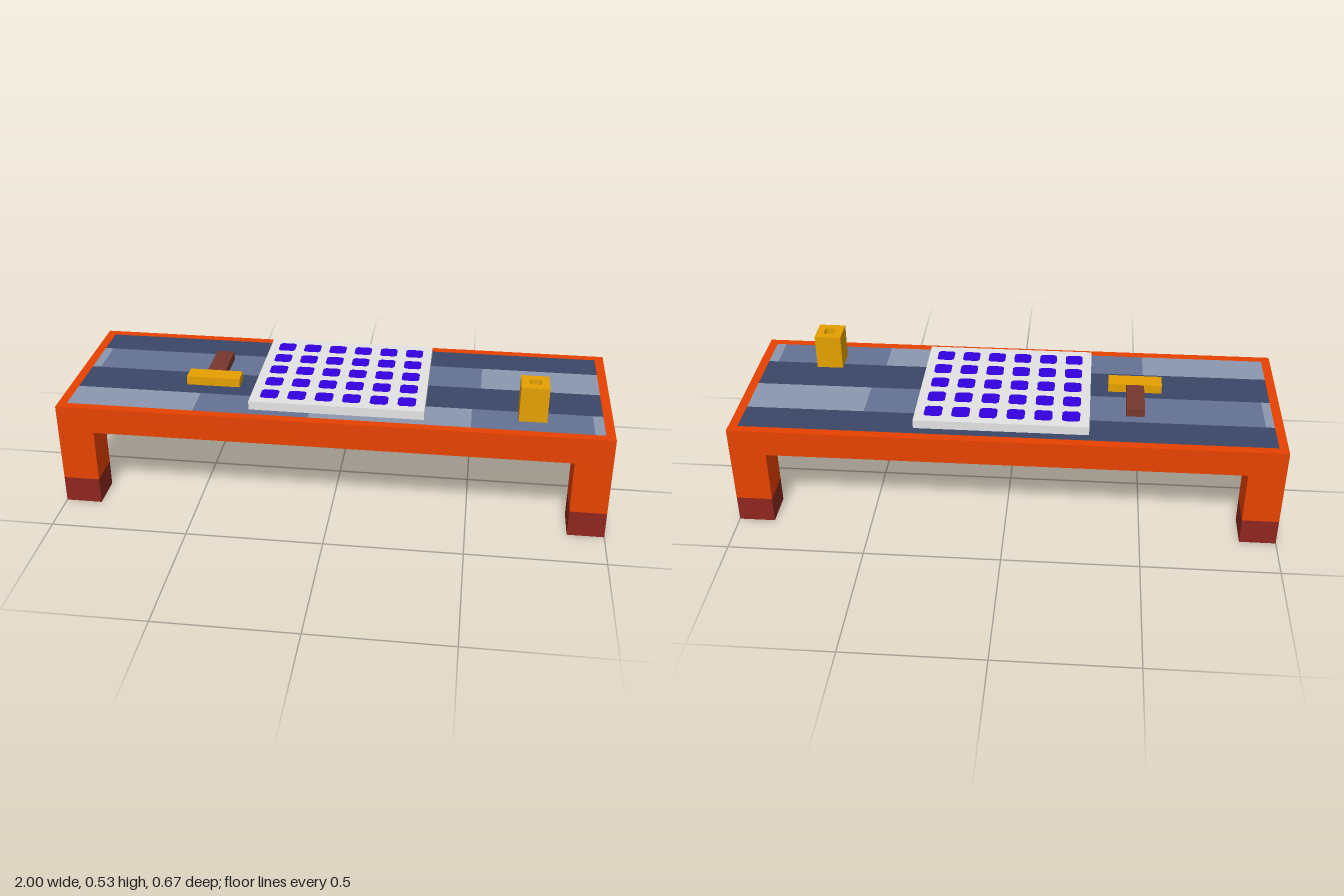
import * as THREE from 'three';

const mat = (name, color) => {
  const m = new THREE.MeshStandardMaterial({ color });
  m.name = name;
  return m;
};

export function createModel() {
  const orange = mat('orange frame', 0xe74200);
  const maroon = mat('maroon foot', 0x8d261d);
  const slate = mat('dark slate', 0x3b4768);
  const blueGrey = mat('blue grey', 0x657294);
  const paleGrey = mat('pale blue grey', 0x8c97af);
  const silver = mat('silver board', 0xe3e3e3);
  const violet = mat('violet dots', 0x3200e0);
  const gold = mat('gold', 0xe6a000);
  const brown = mat('brown handle', 0x76382e);

  const model = new THREE.Group();
  model.name = 'benchTable';

  const add = (name, geometry, material, parent = model) => {
    const mesh = new THREE.Mesh(geometry, material);
    mesh.name = name;
    parent.add(mesh);
    return mesh;
  };
  // box given by its limits on each axis
  const box = (name, material, [x0, x1], [y0, y1], [z0, z1], parent) => {
    const mesh = add(name, new THREE.BoxGeometry(x1 - x0, y1 - y0, z1 - z0), material, parent);
    mesh.position.set((x0 + x1) / 2, (y0 + y1) / 2, (z0 + z1) / 2);
  };
  // rectangle outline with cut corners
  const rect = (Type, hx, hz, cut = 0) => {
    const p = cut
      ? [[hx - cut, -hz], [hx, cut - hz], [hx, hz - cut], [hx - cut, hz],
        [cut - hx, hz], [-hx, hz - cut], [-hx, cut - hz], [cut - hx, -hz]]
      : [[-hx, -hz], [hx, -hz], [hx, hz], [-hx, hz]];
    return new Type(p.map(([x, y]) => new THREE.Vector2(x, y)));
  };
  // outline raised along y from zero
  const raise = (shape, depth) =>
    new THREE.ExtrudeGeometry(shape, { depth, bevelEnabled: false }).rotateX(-Math.PI / 2);

  // Frame around the top
  const X = 1, Z = 0.3333, rim = 0.0333;
  const ring = rect(THREE.Shape, X, Z);
  ring.holes.push(rect(THREE.Path, X - rim, Z - rim));
  add('frame', raise(ring, 0.1), orange).position.y = 0.3;

  // Legs with coloured feet
  for (const sx of [-1, 1]) for (const sz of [-1, 1]) {
    const leg = new THREE.Group();
    leg.name = 'leg';
    leg.position.set(sx * (X - 0.0667), 0, sz * (Z - 0.0667));
    const side = [-0.0667, 0.0667];
    box('legPost', orange, side, [0.1, 0.3], side, leg);
    box('foot', maroon, side, [0, 0.1], side, leg);
    model.add(leg);
  }

  // Table top: lengthwise bands, each split into coloured runs [end x, colour]
  const panel = new THREE.Group();
  panel.name = 'tabletop';
  model.add(panel);
  const end = X - rim;
  const bands = [
    [-0.3, -0.17, [[end, slate]]],
    [-0.17, -0.003, [[-0.935, paleGrey], [-0.3, blueGrey], [0.14, paleGrey], [0.53, blueGrey], [end, paleGrey]]],
    [-0.003, 0.163, [[end, slate]]],
    [0.163, 0.3, [[-0.5, paleGrey], [-0.08, blueGrey], [0.5, paleGrey], [0.93, blueGrey], [end, paleGrey]]],
  ];
  for (const [z0, z1, runs] of bands) {
    let x = -end;
    for (const [x1, material] of runs) {
      box('topBand', material, [x, x1], [0.3, 0.4], [z0, z1], panel);
      x = x1;
    }
  }

  // Board with a grid of thin dots
  box('board', silver, [-0.3, 0.3333], [0.4, 0.4333], [-0.2667, 0.2667]);
  const dot = raise(rect(THREE.Shape, 0.0325, 0.0325, 0.009), 0.002);
  for (let i = 0; i < 6; i++) for (let j = 0; j < 5; j++) {
    add('boardDot', dot, violet).position.set(-0.2333 + i * 0.1, 0.432, -0.2 + j * 0.1);
  }

  // Mallet lying on the top
  const mallet = new THREE.Group();
  mallet.name = 'mallet';
  model.add(mallet);
  box('malletHead', gold, [-0.5667, -0.3667], [0.4, 0.4333], [0.0333, 0.1], mallet);
  box('malletHandle', brown, [-0.5, -0.4333], [0.4, 0.4333], [-0.1333, 0.0333], mallet);

  // Square pot with a small well in its top
  const pot = new THREE.Group();
  pot.name = 'pot';
  pot.position.set(0.7167, 0.4, 0.1833);
  model.add(pot);
  const wall = rect(THREE.Shape, 0.05, 0.05);
  wall.holes.push(rect(THREE.Path, 0.02, 0.02, 0.005));
  add('potWall', raise(wall, 0.1333), gold, pot);
  box('potFloor', gold, [-0.021, 0.021], [0, 0.09], [-0.021, 0.021], pot);

  return model;
}
